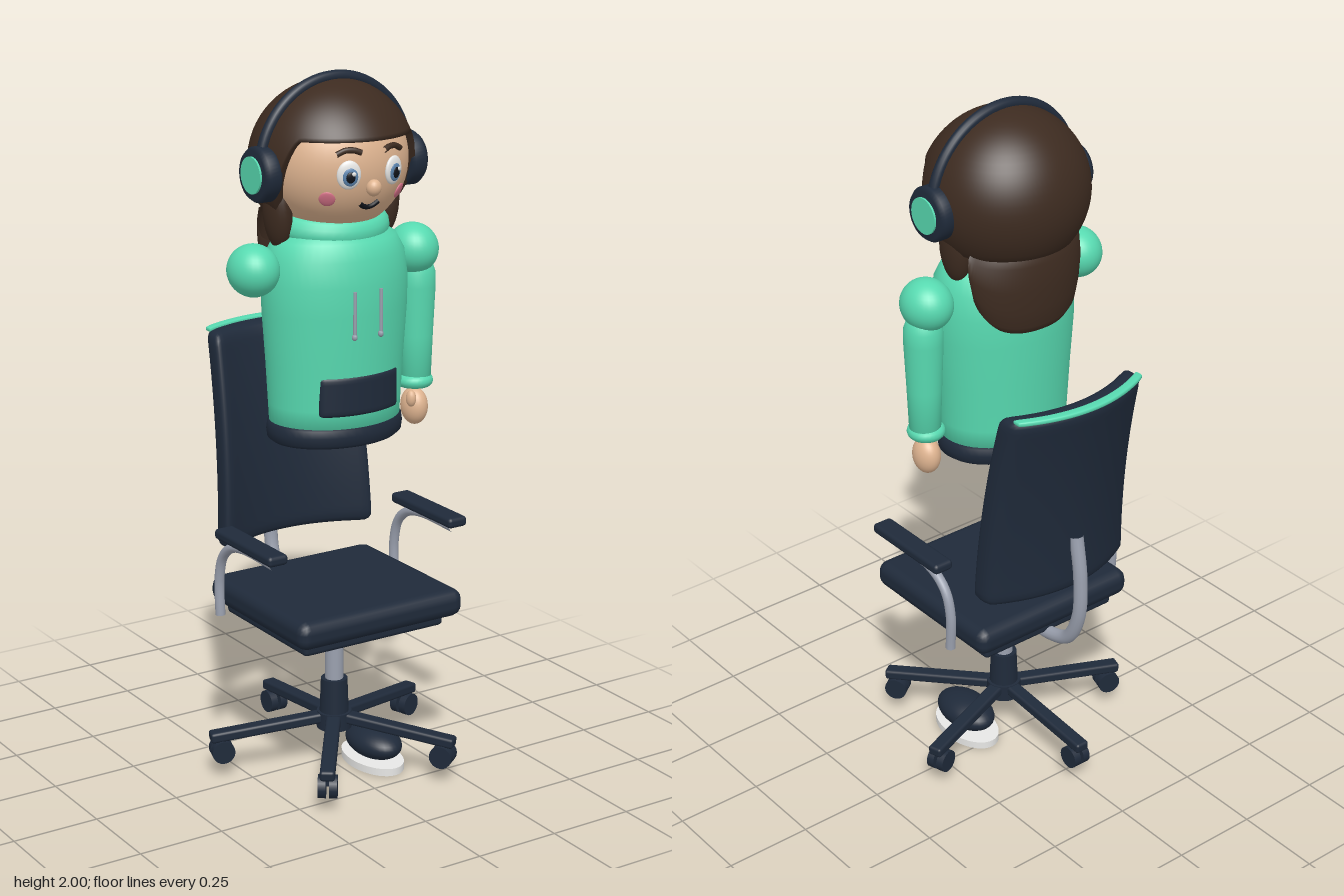
import * as THREE from 'three';
import { mergeVertices } from 'three/addons/utils/BufferGeometryUtils.js';
import { RoundedBoxGeometry } from 'three/addons/geometries/RoundedBoxGeometry.js';

const mat = (name, color, side = THREE.FrontSide) => {
  const m = new THREE.MeshStandardMaterial({ color, side });
  m.name = name;
  return m;
};

export function createModel() {
  const teal = mat('teal fabric', 0x57d9b0);
  const navy = mat('dark navy', 0x1f2a3a);
  const metal = mat('grey metal', 0x9aa0ae);
  const brown = mat('brown hair', 0x3d2b20, THREE.DoubleSide);
  const skin = mat('skin', 0xe0b591);
  const white = mat('white', 0xeeeeec);
  const pink = mat('pink cheek', 0xd9748a);
  const blue = mat('blue iris', 0x5b84ae);
  const black = mat('black', 0x10131a);

  const root = new THREE.Group();
  const group = (name) => {
    const g = new THREE.Group();
    g.name = name;
    root.add(g);
    return g;
  };
  const add = (parent, name, geo, material, x = 0, y = 0, z = 0) => {
    const m = new THREE.Mesh(geo, material);
    m.name = name;
    m.position.set(x, y, z);
    parent.add(m);
    return m;
  };
  const ball = (rx, ry, rz, n = 32) => new THREE.SphereGeometry(1, n, Math.ceil(n * 0.7)).scale(rx, ry, rz);
  const cyl = (rt, rb, h, n = 32) => new THREE.CylinderGeometry(rt, rb, h, n);
  const tube = (pts, r) => new THREE.TubeGeometry(
    new THREE.CatmullRomCurve3(pts.map((p) => new THREE.Vector3(...p)), false, 'centripetal'), 40, r, 12);
  const lathe = (pts, ...arc) => new THREE.LatheGeometry(pts.map((p) => new THREE.Vector2(...p)), 48, ...arc);
  const deform = (geo, rule) => {
    const p = geo.attributes.position;
    const v = new THREE.Vector3();
    for (let i = 0; i < p.count; i++) {
      rule(v.fromBufferAttribute(p, i));
      p.setXYZ(i, v.x, v.y, v.z);
    }
    geo.deleteAttribute('uv');
    geo.deleteAttribute('normal');
    const out = mergeVertices(geo, 1e-5);
    out.computeVertexNormals();
    return out;
  };
  // Subdivided rounded slab that is then bent by a rule
  const bentSlab = (w, h, d, r, sx, sy, sz, bend) => deform(new THREE.BoxGeometry(w, h, d, sx, sy, sz), (v) => {
    const c = new THREE.Vector3(w / 2 - r, h / 2 - r, d / 2 - r);
    const inner = v.clone().clamp(c.clone().negate(), c);
    const off = v.clone().sub(inner);
    if (off.lengthSq() > 0) v.copy(inner).add(off.setLength(r));
    bend(v);
  });

  // ---- Chair: star base with casters ----
  const chair = group('officeChair');
  const cz = 0.04;
  add(chair, 'baseHub', cyl(0.05, 0.05, 0.05), navy, 0, 0.14, cz);
  add(chair, 'columnSleeve', cyl(0.038, 0.042, 0.11), navy, 0, 0.21, cz);
  add(chair, 'gasColumn', cyl(0.026, 0.026, 0.22), metal, 0, 0.35, cz);
  for (let i = 0; i < 5; i++) {
    const arm = new THREE.Group();
    arm.name = 'baseArm';
    arm.position.set(0, 0, cz);
    arm.rotation.y = Math.PI + i * Math.PI * 2 / 5;
    chair.add(arm);
    add(arm, 'baseLeg', new RoundedBoxGeometry(0.042, 0.03, 0.34, 2, 0.008), navy, 0, 0.135, 0.195).rotation.x = 0.09;
    add(arm, 'casterStem', cyl(0.013, 0.013, 0.04, 12), navy, 0, 0.105, 0.335);
    for (const s of [-1, 1]) {
      add(arm, 'casterWheel', cyl(0.033, 0.033, 0.022, 20), navy, s * 0.016, 0.078, 0.33).rotation.z = Math.PI / 2;
    }
  }

  // ---- Chair: seat, backrest and armrests ----
  add(chair, 'seatCushion', new RoundedBoxGeometry(0.54, 0.08, 0.5, 2, 0.032), navy, 0, 0.518, 0.048);
  add(chair, 'seatTray', new RoundedBoxGeometry(0.46, 0.035, 0.42, 2, 0.012), navy, 0, 0.462, cz);
  const backZ = (x, t) => -0.235 - 0.075 * t * t + 0.07 * (x / 0.24) ** 2;
  add(chair, 'backrest', bentSlab(0.5, 0.61, 0.075, 0.028, 28, 34, 8, (v) => {
    const t = THREE.MathUtils.clamp((v.y + 0.305) / 0.61, 0, 1);
    v.x *= 1 - 0.1 * t;
    v.z += backZ(v.x, t);
    v.y += 0.945;
  }), navy);
  add(chair, 'backrestTrim', bentSlab(0.43, 0.014, 0.028, 0.006, 28, 4, 6, (v) => {
    v.z += backZ(v.x, 1) - 0.027;
    v.y += 1.25;
  }), teal);
  add(chair, 'backSupport', tube([[0, 0.44, -0.08], [0, 0.44, -0.17], [0, 0.47, -0.25], [0, 0.56, -0.295],
    [0, 0.69, -0.3], [0, 0.82, -0.28]], 0.02), metal);
  for (const s of [-1, 1]) {
    const x = s * 0.296;
    add(chair, 'armPad', new RoundedBoxGeometry(0.062, 0.03, 0.295, 2, 0.011), navy, x, 0.728, 0.077);
    add(chair, 'armBracket', tube([[x, 0.708, 0.2], [x, 0.708, 0.04], [x, 0.69, -0.03], [x, 0.65, -0.075],
      [x, 0.58, -0.095], [x, 0.475, -0.092]], 0.014), metal);
  }

  // ---- Shoe ----
  const shoe = group('shoe');
  add(shoe, 'shoeSole', cyl(1, 1, 0.022, 40).scale(0.073, 1, 0.12), white, 0.1, 0.011, 0.09);
  add(shoe, 'shoeUpper', ball(0.068, 0.046, 0.106), navy, 0.1, 0.067, 0.095);

  // ---- Hooded torso ----
  const body = group('body');
  add(body, 'torso', lathe([[0.001, 1.01], [0.19, 1.01], [0.195, 1.1], [0.202, 1.22], [0.212, 1.36], [0.213, 1.44],
    [0.203, 1.51], [0.178, 1.555], [0.13, 1.585], [0.001, 1.6]]).scale(1, 1, 0.77), teal, 0, 0, cz);
  add(body, 'hem', lathe([[0.001, 0.993], [0.185, 0.993], [0.198, 1.003], [0.201, 1.025], [0.198, 1.045],
    [0.19, 1.053], [0.001, 1.053]]).scale(1, 1, 0.76), navy, 0, 0, cz);
  const hood = add(body, 'hoodCollar', new THREE.TorusGeometry(0.125, 0.042, 14, 40).rotateX(Math.PI / 2).scale(1, 1, 0.92),
    teal, 0, 1.587, 0.015);
  hood.rotation.x = 0.12;
  add(body, 'pocket', bentSlab(0.25, 0.11, 0.034, 0.01, 24, 12, 4, (v) => {
    v.z += cz + 0.77 * Math.sqrt(0.2 ** 2 - v.x ** 2) - 0.012;
    v.y += 1.14;
  }), navy);
  for (const s of [-1, 1]) {
    add(body, 'drawstring', cyl(0.005, 0.005, 0.125, 10), metal, s * 0.042, 1.37, 0.205);
    add(body, 'drawstringTip', ball(0.008, 0.01, 0.008, 10), metal, s * 0.042, 1.308, 0.204);
    add(body, 'shoulder', ball(0.07, 0.072, 0.077), teal, s * 0.258, 1.487, cz);
  }

  // ---- Single left arm ----
  const arm = group('leftArm');
  add(arm, 'sleeve', lathe([[0.001, 1.47], [0.04, 1.46], [0.053, 1.42], [0.054, 1.38], [0.048, 1.24], [0.043, 1.1],
    [0.001, 1.1]].reverse()), teal, 0.271, 0, cz);
  add(arm, 'cuff', new THREE.TorusGeometry(0.034, 0.019, 12, 28).rotateX(Math.PI / 2), teal, 0.268, 1.108, cz);
  add(arm, 'hand', ball(0.036, 0.054, 0.045), skin, 0.268, 1.032, cz);
  add(arm, 'thumb', ball(0.014, 0.024, 0.016, 14), skin, 0.24, 1.062, 0.065);

  // ---- Head and face ----
  const head = group('head');
  const hc = new THREE.Vector3(0, 1.764, 0.035);
  const hr = new THREE.Vector3(0.205, 0.195, 0.193);
  add(head, 'face', ball(hr.x, hr.y, hr.z, 48), skin, hc.x, hc.y, hc.z);
  const faceZ = (x, y) => hc.z + hr.z * Math.sqrt(1 - (x / hr.x) ** 2 - ((y - hc.y) / hr.y) ** 2);
  // Places a flat part against the face, turned along its surface normal
  const onFace = (name, geo, material, x, y, out = 0) => {
    const p = new THREE.Vector3(x, y, faceZ(x, y));
    const n = p.clone().sub(hc).divide(hr).divide(hr).normalize();
    const m = add(head, name, geo, material);
    m.position.copy(p).addScaledVector(n, out);
    m.quaternion.setFromUnitVectors(new THREE.Vector3(0, 0, 1), n);
  };
  for (const s of [-1, 1]) {
    onFace('eyeWhite', ball(0.033, 0.039, 0.011, 24), white, s * 0.07, 1.752);
    onFace('iris', ball(0.021, 0.024, 0.005, 20), blue, s * 0.068, 1.748, 0.009);
    onFace('pupil', ball(0.013, 0.015, 0.004, 16), black, s * 0.068, 1.748, 0.0125);
    onFace('eyeGlint', ball(0.006, 0.006, 0.003, 10), white, s * 0.068 + 0.007, 1.757, 0.0155);
    onFace('cheek', ball(0.022, 0.022, 0.005, 20), pink, s * 0.113, 1.687, 0.001);
    const brow = [0.036, 0.055, 0.078, 0.1].map((x, i) => {
      const y = 1.812 + [-0.003, 0.004, 0.004, -0.006][i];
      return [s * x, y, faceZ(x, y) + 0.004];
    });
    add(head, 'eyebrow', tube(brow, 0.008), brown);
  }
  onFace('nose', ball(0.021, 0.023, 0.02, 20), skin, 0, 1.715, 0.007);
  const smile = [-1, -0.5, 0, 0.5, 1].map((u) => {
    const x = u * 0.03;
    const y = 1.658 + 0.014 * u * u;
    return [x, y, faceZ(x, y) + 0.002];
  });
  add(head, 'mouth', tube(smile, 0.007), black);

  // ---- Hair ----
  const hair = group('hair');
  // Cap whose lower edge is a straight fringe in front and drops behind the face, with a turned-in lip
  const rows = 24;
  add(hair, 'hairCap', deform(new THREE.SphereGeometry(1, 96, rows), (v) => {
    const row = Math.round(Math.acos(THREE.MathUtils.clamp(v.y, -1, 1)) / Math.PI * rows);
    const az = row === 0 || row === rows ? 0 : Math.atan2(v.x, v.z);
    const drop = THREE.MathUtils.smoothstep(Math.abs(az), 0.95, 1.5);
    const edge = Math.acos(THREE.MathUtils.lerp(0.37, -0.58, drop));
    const th = edge * Math.min(row, rows - 2) / (rows - 2);
    const lip = row === rows - 1 ? 0.9 : row === rows ? 0 : 1;
    const bulge = 1 + 0.06 * (1 - drop) * Math.max(0, Math.cos(az)) * Math.sin(th) ** 6;
    const k = Math.sin(th) * lip;
    v.set(0.23 * k * Math.sin(az), 1.755 + 0.225 * Math.cos(th), 0.025 + 0.22 * k * Math.cos(az) * bulge);
    if (row === rows) v.set(0, 1.8, 0.025);
  }), brown);
  // Long hair lying over the back of the hood, rounded at the bottom
  add(hair, 'backHair', deform(lathe([[0.12, 1.66], [0.17, 1.64], [0.195, 1.6], [0.2, 1.53], [0.196, 1.47], [0.187, 1.42],
    [0.172, 1.4], [0.14, 1.39]], Math.PI - 1.25, 2.5), (v) => {
    const u = Math.min(1, Math.abs(Math.atan2(v.x, -v.z)) / 1.25);
    v.y = 1.66 - (1.66 - v.y) * (0.45 + 0.55 * Math.sqrt(1 - u ** 3));
    v.z = v.z * 0.73 - 0.005;
  }), brown);
  for (const s of [-1, 1]) {
    add(hair, 'sideLock', ball(0.036, 0.1, 0.05, 24), brown, s * 0.172, 1.632, 0.025).rotation.z = -s * 0.06;
  }

  // ---- Headphones ----
  const phones = group('headphones');
  add(phones, 'headband', new THREE.TorusGeometry(0.234, 0.016, 14, 48, Math.PI), navy, 0, 1.75, cz);
  for (const s of [-1, 1]) {
    const cup = add(phones, 'earCup', lathe([[0.001, -0.028], [0.066, -0.028], [0.075, -0.018], [0.075, 0.014],
      [0.066, 0.026], [0.001, 0.026]]), navy, s * 0.233, 1.743, cz);
    cup.rotation.z = -s * Math.PI / 2;
    add(phones, 'earCupDisc', cyl(0.05, 0.05, 0.009, 32), teal, s * 0.26, 1.743, cz).rotation.z = Math.PI / 2;
  }
  return root;
}
